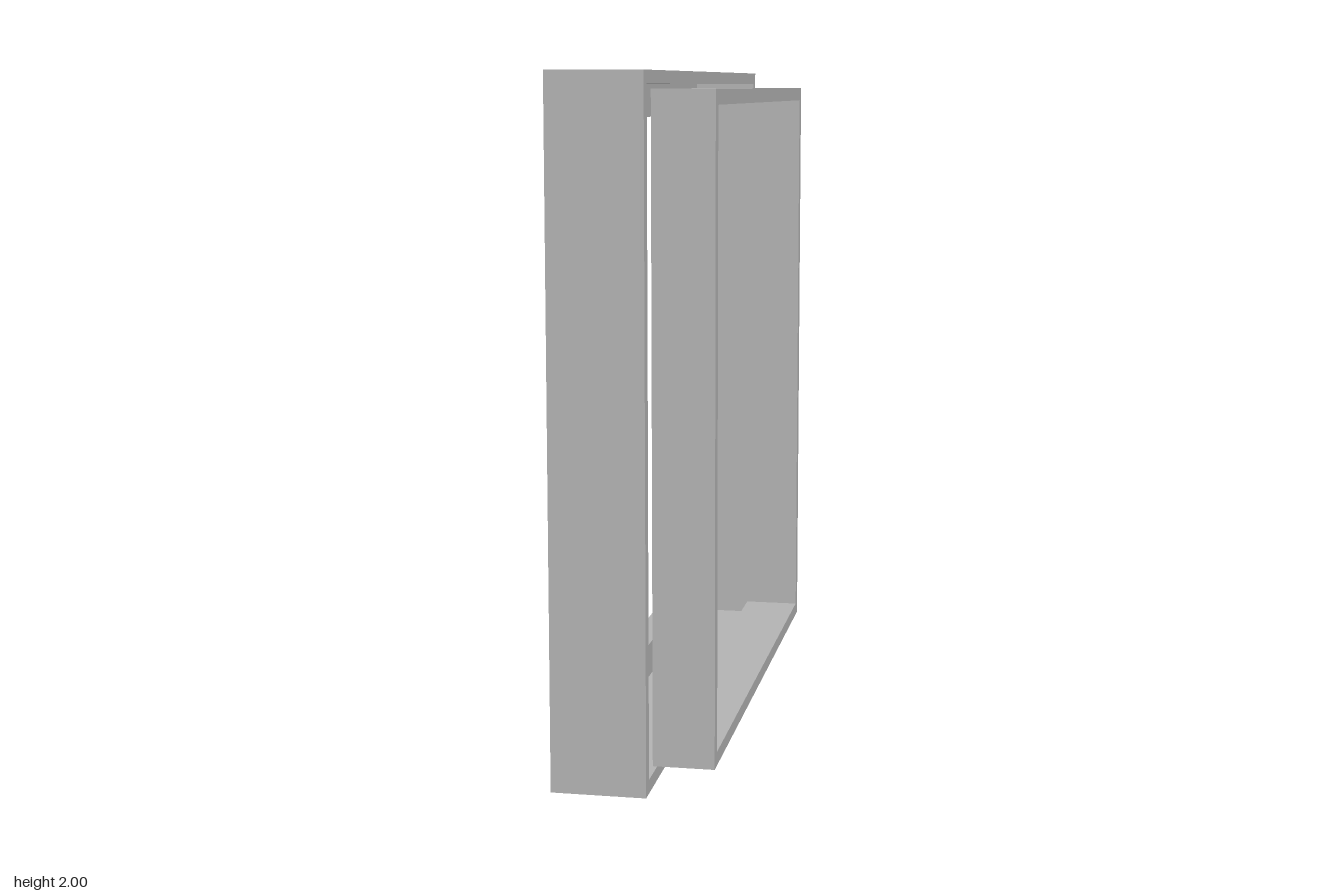
import * as THREE from 'three';

// Rectangle outline in (z, y)
function rect(target, halfWidth, y0, y1) {
  target.moveTo(-halfWidth, y0);
  target.lineTo(halfWidth, y0);
  target.lineTo(halfWidth, y1);
  target.lineTo(-halfWidth, y1);
  target.closePath();
  return target;
}

// Rectangular ring facing x; outer and inner are [halfWidth, bottom, top]
function frame(name, x0, x1, outer, inner, material) {
  const shape = rect(new THREE.Shape(), ...outer);
  shape.holes.push(rect(new THREE.Path(), ...inner));
  const geometry = new THREE.ExtrudeGeometry(shape, { depth: x1 - x0, bevelEnabled: false });
  geometry.rotateY(Math.PI / 2);
  geometry.translate(x0, 0, 0);
  const mesh = new THREE.Mesh(geometry, material);
  mesh.name = name;
  return mesh;
}

export function createModel() {
  const grey = new THREE.MeshStandardMaterial({ color: 0xb2b2b2 });
  grey.name = 'grey';

  const outer = [0.975, 0, 2];
  const model = new THREE.Group();
  model.name = 'windowFrame';

  // Outer casing: a thin wall with a wider flange at its back
  const casing = new THREE.Group();
  casing.name = 'outerCasing';
  casing.add(
    frame('casingFlange', -0.225, -0.155, outer, [0.831, 0.147, 1.86], grey),
    frame('casingWall', -0.155, 0.048, outer, [0.935, 0.04, 1.963], grey),
  );

  // Smaller frame standing free in front of the casing
  model.add(casing, frame('innerFrame', 0.048, 0.225, [0.882, 0.062, 1.95], [0.842, 0.102, 1.907], grey));
  return model;
}
